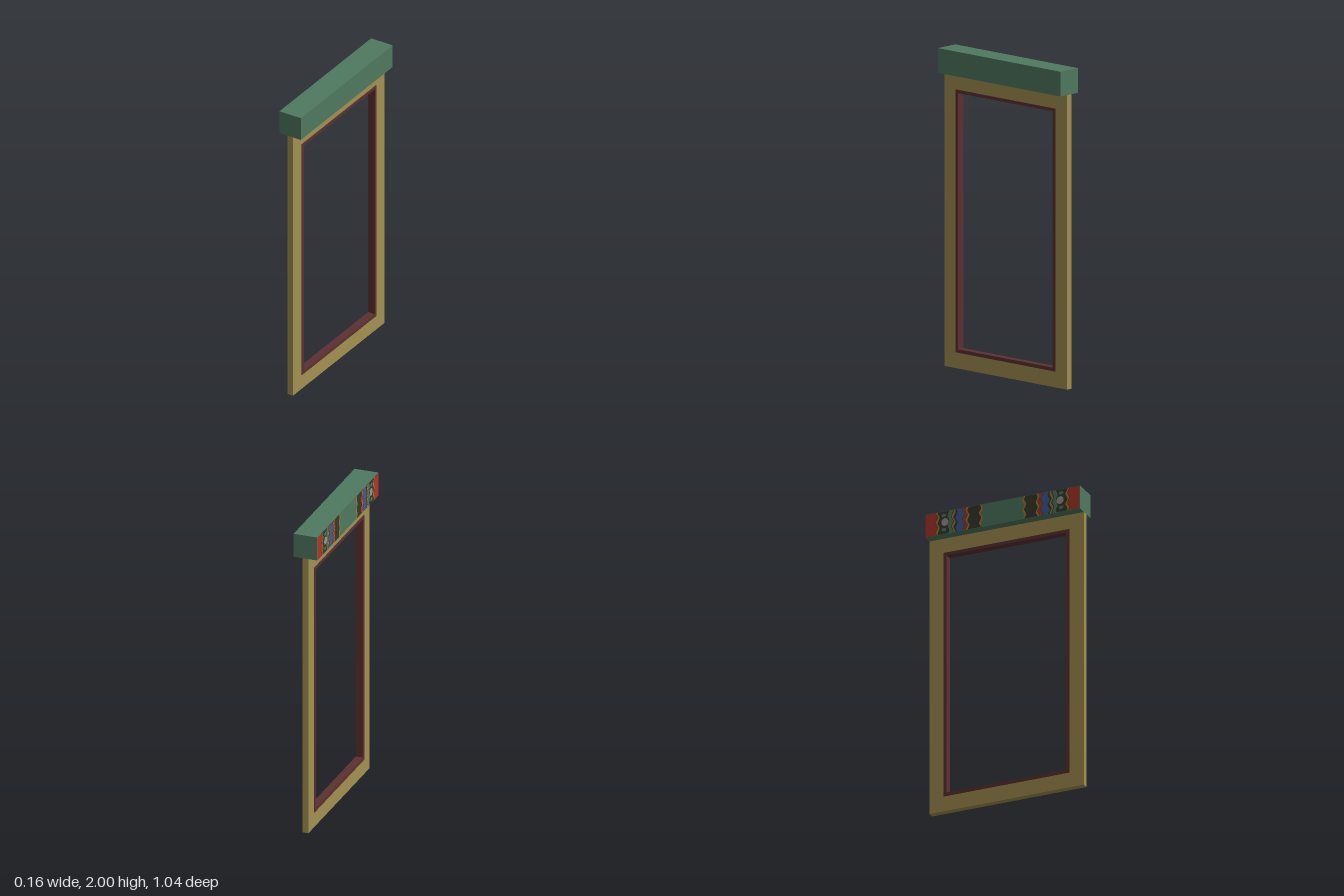
import * as THREE from 'three';

const mat = (name, color, side = THREE.FrontSide) => {
  const m = new THREE.MeshStandardMaterial({ color, side });
  m.name = name;
  return m;
};

export function createModel() {
  const model = new THREE.Group();
  const green = mat('green', 0x4f7960);
  const ochre = mat('ochre', 0xa39150);
  const brown = mat('brown', 0x5c3031);
  const red = mat('red', 0xb0342a);
  const orange = mat('orange', 0xb07a28);
  const dark = mat('dark', 0x37382c);
  const blue = mat('blue', 0x3d5c9c);
  const grey = mat('grey', 0x9a9a98);

  const add = (name, geometry, material) => {
    const mesh = new THREE.Mesh(geometry, material);
    mesh.name = name;
    model.add(mesh);
    return mesh;
  };

  // Rectangular ring in the z-y plane, extruded along x and centred on x = 0
  const ring = (z, y0, y1, iz, iy0, iy1, depth) => {
    const rect = (P, w, a, b) => new P([[-w, a], [w, a], [w, b], [-w, b]].map(p => new THREE.Vector2(...p)));
    const shape = rect(THREE.Shape, z, y0, y1);
    shape.holes.push(rect(THREE.Path, iz, iy0, iy1));
    return new THREE.ExtrudeGeometry(shape, { depth, bevelEnabled: false })
      .translate(0, 0, -depth / 2).rotateY(-Math.PI / 2);
  };

  // Door frame, inner trim and header box
  add('frame', ring(0.52, 0, 1.845, 0.42, 0.105, 1.742, 0.04), ochre);
  add('innerTrim', ring(0.424, 0.1, 1.747, 0.402, 0.122, 1.727, 0.048), brown);
  add('header', new THREE.BoxGeometry(0.156, 0.155, 1.04).translate(0, 1.9225, 0), green);

  // Painted faces on the -x side of the header
  const paint = (name, shape, material, layer) =>
    add(name, new THREE.ShapeGeometry(shape).rotateY(-Math.PI / 2).translate(-0.079 - layer * 0.001, 0, 0), material);

  // Wavy vertical band between distances d0 and d1 from the header's end
  const band = (side, d0, d1, amp0, amp1) => {
    const steps = 16, pts = [];
    const edge = (d, amp, t) => new THREE.Vector2(
      side * (0.52 - d - amp * Math.sin(t * 14 + d * 40)), 1.847 + 0.151 * t);
    for (let i = 0; i <= steps; i++) pts.push(edge(d0, amp0, i / steps));
    for (let i = steps; i >= 0; i--) pts.push(edge(d1, amp1, i / steps));
    return new THREE.Shape(pts);
  };
  const blob = (side, d, y, rz, ry) =>
    new THREE.Shape().absellipse(side * (0.52 - d), y, rz, ry, 0, Math.PI * 2);

  for (const side of [-1, 1]) {
    paint('darkBand', band(side, 0.002, 0.37, 0, 0.006), dark, 0);
    paint('redEnd', band(side, 0.002, 0.075, 0, 0.006), red, 1);
    for (const d of [0.078, 0.185, 0.278, 0.368])
      paint('orangeLine', band(side, d, d + 0.012, 0.007, 0.007), orange, 2);
    paint('greenBand', band(side, 0.155, 0.18, 0.006, 0.006), green, 1);
    paint('blueBand', band(side, 0.21, 0.255, 0.007, 0.007), blue, 1);
    paint('redLine', band(side, 0.258, 0.275, 0.007, 0.007), red, 1);
    paint('greyPatch', blob(side, 0.132, 1.925, 0.024, 0.026), grey, 3);
    for (const y of [1.875, 1.972])
      paint('greenPatch', blob(side, 0.125, y, 0.016, 0.012), green, 3);
  }
  return model;
}
